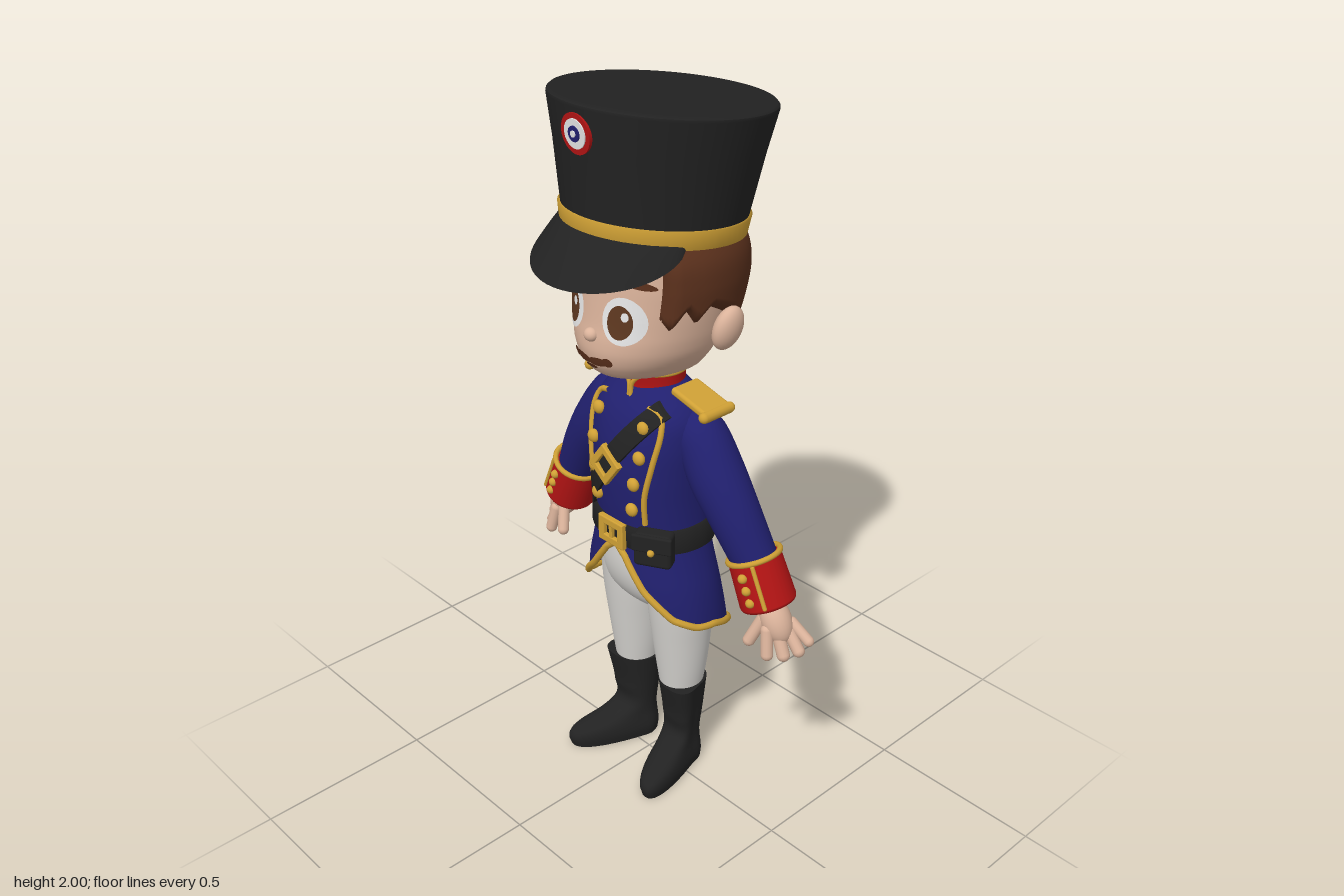
import * as THREE from 'three';
import { mergeVertices } from 'three/addons/utils/BufferGeometryUtils.js';
import { RoundedBoxGeometry } from 'three/addons/geometries/RoundedBoxGeometry.js';

const V = (x, y, z) => new THREE.Vector3(x, y, z);
const mat = (name, color, side = THREE.FrontSide) => Object.assign(new THREE.MeshStandardMaterial({ color, side }), { name });

// Smooth surface from a rule f(u, v) with u, v in 0..1
function grid(nu, nv, f) {
  const pos = [], idx = [];
  for (let j = 0; j <= nv; j++) for (let i = 0; i <= nu; i++) pos.push(...f(i / nu, j / nv).toArray());
  for (let j = 0; j < nv; j++) for (let i = 0; i < nu; i++) {
    const a = j * (nu + 1) + i, c = a + nu + 1;
    idx.push(a, a + 1, c, a + 1, c + 1, c);
  }
  let g = new THREE.BufferGeometry();
  g.setAttribute('position', new THREE.Float32BufferAttribute(pos, 3));
  g.setIndex(idx);
  g = mergeVertices(g, 1e-5);
  g.computeVertexNormals();
  return g;
}

// Rounded body from cross-sections [y, half width, front z, back z]
function body(rows, zc = -0.02, e = 1) {
  const curve = new THREE.CubicInterpolant(rows.map(r => r[0]), rows.flatMap(r => r.slice(1)), 3);
  const pw = v => Math.sign(v) * Math.abs(v) ** e;
  const at = (t, y, off = 0) => {
    const [rx, zf, zb] = curve.evaluate(y), c = Math.cos(t);
    return V((rx + off) * pw(Math.sin(t)), y, zc + pw(c) * ((c > 0 ? zf - zc : zc - zb) + off));
  };
  const z = (x, y, side = 1) => {
    const [rx, zf, zb] = curve.evaluate(y);
    const s = Math.min(1, Math.abs(x) / rx) ** (1 / e);
    return zc + Math.sqrt(Math.max(0, 1 - s * s)) ** e * (side > 0 ? zf - zc : zb - zc);
  };
  const y0 = rows[0][0], y1 = rows[rows.length - 1][0];
  const geo = (n = 40, m = 24) => grid(n, m, (u, v) => at((u * 2 - 1) * Math.PI, y0 + (y1 - y0) * v));
  return { at, z, geo };
}

// Lay a flat piece on a body, keeping its own thickness
function lay(g, b, off, side = 1) {
  const p = g.attributes.position;
  for (let i = 0; i < p.count; i++) p.setZ(i, b.z(p.getX(i), p.getY(i), side) + p.getZ(i) + side * off);
  g.computeVertexNormals();
  return g;
}
const spot = (x, y, rx, ry, rot = 0) => new THREE.RingGeometry(0, 1, 28, 5).scale(rx, ry, 1).rotateZ(rot).translate(x, y, 0);
const ball = (x, y, z, rx, ry = rx, rz = rx) => new THREE.SphereGeometry(1, 24, 16).scale(rx, ry, rz).translate(x, y, z);
const tube = (pts, r, closed = false) => new THREE.TubeGeometry(new THREE.CatmullRomCurve3(pts, closed), pts.length * 4, r, 8, closed);
const band = (b, y0, y1, off) => grid(64, 3, (u, v) => {
  const k = Math.round(v * 3);
  return b.at((u * 2 - 1) * Math.PI, k < 2 ? y0 : y1, k % 3 ? off : -0.005);
});
const ringOn = (b, y, off, r) => tube(Array.from({ length: 32 }, (_, i) => b.at(i * Math.PI / 16, y, off)), r, true);
const orient = (g, p, d) => g.applyQuaternion(new THREE.Quaternion().setFromUnitVectors(V(0, 1, 0), d.clone().normalize())).translate(p.x, p.y, p.z);
function rod(a, b, r) {
  return orient(new THREE.CapsuleGeometry(r, a.distanceTo(b), 6, 14), a.clone().lerp(b, 0.5), b.clone().sub(a));
}
// Tapered limb through points with radii
function limb(pts, radii) {
  const c = new THREE.CatmullRomCurve3(pts), r = new THREE.CatmullRomCurve3(radii.map(q => V(q, 0, 0)));
  return grid(24, 24, (u, v) => {
    const t = c.getTangent(v), a = V(0, 0, 1).addScaledVector(t, -t.z).normalize(), b = t.clone().cross(a);
    const w = u * Math.PI * 2, q = r.getPoint(v).x;
    return c.getPoint(v).addScaledVector(a, q * Math.cos(w)).addScaledVector(b, q * Math.sin(w));
  });
}
function frame(w, h, t) {
  const rect = (P, a, b) => new P([[-a, -b], [a, -b], [a, b], [-a, b]].map(q => new THREE.Vector2(...q)));
  const s = rect(THREE.Shape, w / 2, h / 2);
  s.holes.push(rect(THREE.Path, w / 2 - t, h / 2 - t));
  return new THREE.ExtrudeGeometry(s, { depth: 0.012, bevelSize: 0.003, bevelThickness: 0.003, bevelSegments: 2 });
}
function mirrored(g) {
  const m = (g.index ? g.clone() : mergeVertices(g)).scale(-1, 1, 1), ix = m.index.array;
  for (let i = 0; i < ix.length; i += 3) [ix[i], ix[i + 1]] = [ix[i + 1], ix[i]];
  return m;
}

export function createModel() {
  const root = new THREE.Group();
  root.name = 'toySoldier';
  const black = mat('black', 0x222222, THREE.DoubleSide), blue = mat('coatBlue', 0x21206f, THREE.DoubleSide);
  const red = mat('red', 0xb41414, THREE.DoubleSide), gold = mat('gold', 0xcfa035), skin = mat('skin', 0xdbb39b);
  const brown = mat('hairBrown', 0x5a301c), white = mat('trouserWhite', 0xd6d4d0), eyeWhite = mat('eyeWhite', 0xe9e9e9);
  const iris = mat('irisBrown', 0x5e3820);
  const add = (name, g, m, both = false, parent = root) => {
    for (const geo of both ? [g, mirrored(g)] : [g]) {
      const mesh = new THREE.Mesh(geo, m);
      mesh.name = both ? (geo === g ? 'left ' : 'right ') + name : name;
      parent.add(mesh);
    }
  };

  // Legs and boots, toes turned out
  add('hips', body([[0.53, 0.08, 0.02, -0.08], [0.58, 0.16, 0.07, -0.12], [0.65, 0.175, 0.1, -0.13], [0.82, 0.15, 0.1, -0.12]]).geo(), white);
  add('leg', body([[0.28, 0.06, 0.025, -0.103], [0.35, 0.07, 0.035, -0.115], [0.45, 0.08, 0.05, -0.125], [0.55, 0.087, 0.065, -0.13], [0.66, 0.08, 0.08, -0.12]], -0.04).geo().translate(0.093, 0, 0), white, true);
  const boot = body([[0, 0.055, 0.165, -0.1], [0.03, 0.06, 0.172, -0.1], [0.055, 0.058, 0.155, -0.098], [0.08, 0.054, 0.08, -0.096], [0.11, 0.053, 0.02, -0.096], [0.18, 0.058, 0.015, -0.105], [0.295, 0.07, 0.035, -0.113]], -0.03, 0.85);
  const cap = y => grid(40, 1, (u, v) => boot.at((u * 2 - 1) * Math.PI, y).lerp(V(0, y, -0.03), v));
  for (const [name, g] of [['boot', boot.geo(40, 30)], ['bootSole', cap(0.001)], ['bootTop', cap(0.295)]]) {
    const p = g.attributes.position;
    for (let i = 0; i < p.count; i++) p.setX(i, p.getX(i) + 0.092 + 0.32 * Math.max(0, p.getZ(i) + 0.04));
    g.computeVertexNormals();
    add(name, g, black, true);
  }

  // Coat with cut-away front, long tails and back vent
  const coat = body([[0.4, 0.222, 0.12, -0.22], [0.55, 0.218, 0.125, -0.187], [0.65, 0.205, 0.13, -0.165], [0.74, 0.183, 0.125, -0.15],
    [0.8, 0.17, 0.12, -0.145], [0.9, 0.166, 0.13, -0.15], [1, 0.17, 0.135, -0.15], [1.1, 0.175, 0.125, -0.145],
    [1.17, 0.165, 0.1, -0.13], [1.21, 0.13, 0.07, -0.11], [1.24, 0.08, 0.045, -0.09]], -0.02, 0.92);
  const hemCurve = new THREE.LinearInterpolant([0, 10, 28, 52, 75, 95, 120, 158, 170, 180], [0.78, 0.75, 0.66, 0.585, 0.555, 0.545, 0.51, 0.44, 0.57, 0.74], 1);
  const hem = t => hemCurve.evaluate(Math.abs(t) * 180 / Math.PI)[0];
  add('coat', grid(108, 36, (u, v) => {
    const t = (u * 2 - 1) * Math.PI;
    return coat.at(t, hem(t) + (1.24 - hem(t)) * v);
  }), blue);
  add('coatHemTrim', tube(Array.from({ length: 108 }, (_, i) => {
    const t = (i / 54 - 1) * Math.PI;
    return coat.at(t, hem(t), 0.002);
  }), 0.01, true), gold);
  const on = (x, y) => V(x, y, coat.z(x, y) + 0.004);
  add('chestPiping', tube([on(0.075, 1.195), on(0.115, 1.18), on(0.128, 1.14), on(0.118, 1.05), on(0.1, 0.95), on(0.098, 0.87)], 0.008), gold, true);
  for (const [x, y] of [[0.085, 1.15], [0.088, 1.07], [0.075, 0.99], [0.067, 0.91]]) add('chestButton', ball(x, y, coat.z(x, y) + 0.006, 0.019, 0.019, 0.014), gold, true);

  // Collar
  const collar = body([[1.17, 0.1, 0.07, -0.115], [1.22, 0.085, 0.057, -0.1], [1.275, 0.086, 0.062, -0.1]]);
  add('collar', collar.geo(40, 8), red);
  add('collarTopTrim', ringOn(collar, 1.272, 0, 0.007), gold);
  add('collarBaseTrim', ringOn(collar, 1.195, 0.002, 0.007), gold);
  add('collarNotch', tube([V(0.035, 1.272, 0.058), V(0.006, 1.24, 0.066), V(0.004, 1.19, 0.07)], 0.006), gold, true);

  // Arms, epaulettes, cuffs and hands
  add('sleeve', limb([V(0.12, 1.15, -0.03), V(0.165, 1.115, -0.03), V(0.225, 1.02, -0.03), V(0.285, 0.93, -0.035), V(0.352, 0.81, -0.05)], [0.052, 0.07, 0.077, 0.071, 0.062]), blue, true);
  add('epaulette', new RoundedBoxGeometry(0.13, 0.022, 0.095, 3, 0.009).rotateZ(-0.25).translate(0.16, 1.218, -0.03), gold, true);
  add('epauletteEdge', rod(V(0.219, 1.2, 0.015), V(0.219, 1.2, -0.075), 0.015), gold, true);
  const cuffAt = V(0.349, 0.825, -0.048), cuffDir = V(0.38, -0.92, -0.05);
  const onCuff = g => orient(g, cuffAt, cuffDir);
  add('cuff', onCuff(new THREE.LatheGeometry([[0.05, 0], [0.07, 0], [0.072, 0.01], [0.077, 0.13], [0.074, 0.138], [0.02, 0.136]].map(p => new THREE.Vector2(...p)), 32)), red, true);
  add('cuffTrim', onCuff(new THREE.TorusGeometry(0.071, 0.008, 8, 32).rotateX(Math.PI / 2)), gold, true);
  add('cuffPiping', onCuff(rod(V(-0.03, 0.01, 0.067), V(-0.032, 0.125, 0.071), 0.006)), gold, true);
  for (const y of [0.035, 0.07, 0.105]) add('cuffButton', onCuff(ball(0.005, y, 0.074, 0.013)), gold, true);
  add('palm', orient(ball(0, 0, 0, 0.042, 0.07, 0.043), V(0.428, 0.66, -0.055), V(0.5, -0.86, 0)), skin, true);
  for (const [a, b, r] of [[[0.43, 0.64, -0.02], [0.443, 0.573, -0.01], 0.017], [[0.445, 0.635, -0.045], [0.474, 0.573, -0.04], 0.018],
    [[0.455, 0.64, -0.07], [0.5, 0.585, -0.07], 0.017], [[0.46, 0.65, -0.085], [0.513, 0.612, -0.093], 0.015], [[0.405, 0.66, -0.03], [0.382, 0.592, -0.005], 0.017]])
    add('finger', rod(V(...a), V(...b), r), skin, true);

  // Waist belt, buckle and front pouch
  add('waistBelt', band(coat, 0.785, 0.85, 0.012), black);
  add('beltBuckle', frame(0.09, 0.07, 0.016).translate(0, 0.818, 0.13), gold);
  add('beltBuckleBar', new THREE.BoxGeometry(0.012, 0.05, 0.01).translate(0, 0.818, 0.139), gold);
  const place = (g, x, y, z, ry) => g.rotateY(ry).translate(x, y, z);
  add('pouch', place(new RoundedBoxGeometry(0.105, 0.1, 0.05, 3, 0.012), 0.132, 0.812, 0.105, 0.5), black);
  add('pouchFlap', place(new RoundedBoxGeometry(0.112, 0.05, 0.012, 3, 0.005).translate(0, 0.025, 0.026), 0.132, 0.812, 0.105, 0.5), black);
  add('pouchButton', place(ball(0, 0.002, 0.033, 0.01), 0.132, 0.812, 0.105, 0.5), gold);

  // Shoulder strap, its buckle and the hip bag
  add('strapFront', lay(new THREE.BoxGeometry(0.055, 0.55, 0.012, 6, 60, 1).rotateZ(-0.63).translate(-0.05, 0.975, 0), coat, 0.008), black);
  add('strapBack', lay(new THREE.BoxGeometry(0.055, 0.53, 0.012, 6, 60, 1).rotateZ(-0.56).translate(-0.035, 0.98, 0), coat, 0.008, -1), black);
  add('strapBuckle', frame(0.075, 0.08, 0.014).rotateZ(-0.63).rotateX(-0.04).translate(-0.01, 1.025, 0.142), gold);
  const bagTurn = Math.atan2(-0.55, -0.83), onBag = g => place(g, -0.18, 0.69, -0.165, bagTurn);
  add('bag', onBag(new RoundedBoxGeometry(0.165, 0.175, 0.055, 3, 0.018)), black);
  add('bagFlap', onBag(new RoundedBoxGeometry(0.172, 0.11, 0.014, 3, 0.006).translate(0, 0.037, 0.027)), black);
  add('bagTab', onBag(new RoundedBoxGeometry(0.03, 0.06, 0.01, 2, 0.004).translate(0, -0.02, 0.035)), black);

  // Head
  const head = body([[1.275, 0.06, 0.09, -0.09], [1.29, 0.115, 0.15, -0.12], [1.32, 0.15, 0.185, -0.135], [1.36, 0.178, 0.2, -0.155], [1.4, 0.192, 0.2, -0.178],
    [1.44, 0.2, 0.193, -0.2], [1.5, 0.208, 0.186, -0.225], [1.56, 0.213, 0.18, -0.235], [1.62, 0.205, 0.172, -0.225], [1.68, 0.17, 0.13, -0.19]]);
  add('head', head.geo(56, 40), skin);
  add('headBase', grid(40, 1, (u, v) => head.at((u * 2 - 1) * Math.PI, 1.2751).lerp(V(0, 1.275, 0), 1 - v)), skin);
  add('neck', new THREE.CylinderGeometry(0.07, 0.07, 0.14, 32).translate(0, 1.24, -0.02), skin);
  add('nose', ball(0, 1.415, 0.197, 0.02, 0.018, 0.018), skin);
  add('ear', ball(0, 0, 0, 0.03, 0.06, 0.045).rotateX(-0.2).rotateZ(-0.2).translate(0.235, 1.435, -0.045), skin, true);
  add('eye', lay(spot(0.088, 1.468, 0.053, 0.062), head, 0.003), eyeWhite, true);
  add('iris', lay(spot(0.083, 1.465, 0.031, 0.044), head, 0.006), iris, true);
  for (const x of [0.097, -0.069]) add('eyeGlint', lay(spot(x, 1.482, 0.009, 0.012), head, 0.009), eyeWhite);
  add('eyebrow', lay(spot(0.112, 1.568, 0.048, 0.011, -0.22), head, 0.005), brown, true);
  add('moustache', lay(spot(0.027, 1.35, 0.032, 0.012, 0.1), head, 0.006), brown, true);
  add('moustacheTip', lay(spot(0.055, 1.354, 0.013, 0.013), head, 0.007), brown, true);
  add('lowerLip', lay(spot(0, 1.331, 0.02, 0.006), head, 0.005), brown);

  // Hair with pointed sideburns, tapering into the scalp at its edge
  const hairline = new THREE.LinearInterpolant([50, 58, 67, 75, 84, 105, 118, 180], [1.48, 1.445, 1.5, 1.46, 1.5, 1.46, 1.395, 1.385], 1);
  add('hair', grid(104, 24, (u, v) => {
    const deg = 50 + 260 * u, y0 = hairline.evaluate(180 - Math.abs(180 - deg))[0];
    const edge = Math.min(1, v * 8, u * 26, (1 - u) * 26);
    return head.at(deg * Math.PI / 180, y0 + (1.68 - y0) * v, 0.028 * Math.sqrt(Math.max(0, edge)));
  }), brown);

  // Tall hat, tilted back
  const hat = new THREE.Group();
  hat.name = 'hat';
  hat.position.set(0, 1.655, -0.015);
  hat.rotation.x = -0.1;
  root.add(hat);
  const lathe = pts => new THREE.LatheGeometry(pts.map(p => new THREE.Vector2(...p)), 64);
  add('hatBody', lathe([[0, -0.005], [0.222, -0.005], [0.228, 0], [0.235, 0.05], [0.26, 0.2], [0.281, 0.305], [0.28, 0.312]]), black, false, hat);
  add('hatTop', lathe([[0.28, 0.312], [0.274, 0.318], [0, 0.318]]), black, false, hat);
  add('hatBand', lathe([[0.225, -0.004], [0.234, -0.003], [0.241, 0.043], [0.23, 0.045]]), gold, false, hat);
  add('visor', grid(40, 10, (u, v) => {
    const t = (u * 2 - 1) * 1.15, f = Math.max(0, Math.cos(t * Math.PI / 2.3)) ** 0.7, r = 0.232 + 0.09 * f * (1 - v);
    return V(r * Math.sin(t), 0.012 - (0.012 + 0.113 * f) * (1 - v) ** 1.15, r * Math.cos(t));
  }), black, false, hat);
  [[0.05, red], [0.036, eyeWhite], [0.019, blue], [0.008, eyeWhite]].forEach(([r, m], i) =>
    add('cockadeRing' + i, new THREE.CylinderGeometry(r, r, 0.009, 32).rotateX(Math.PI / 2 + 0.18).translate(0, 0.245, 0.268 + i * 0.003), m, false, hat));
  return root;
}
